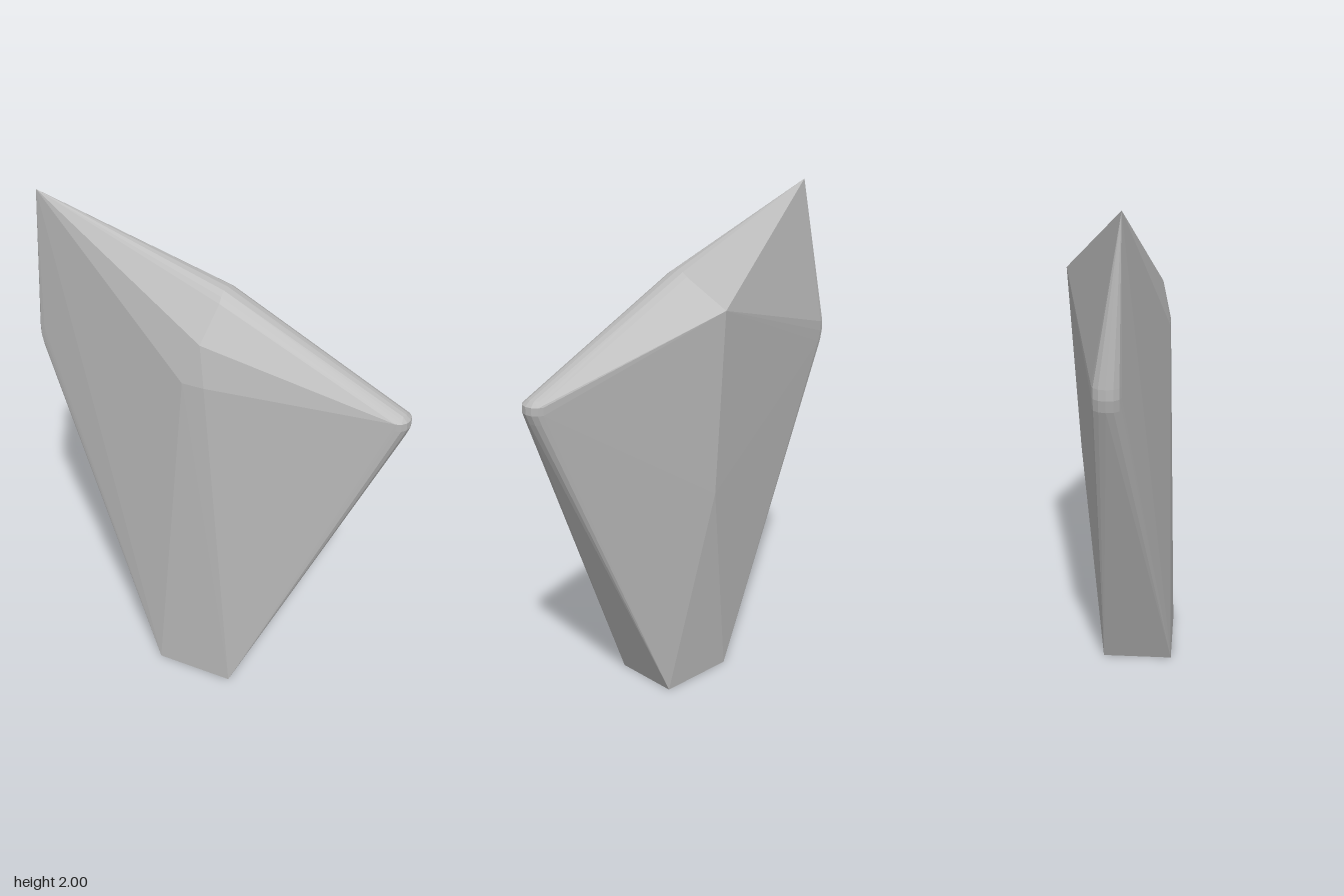
import * as THREE from 'three';
import { ConvexGeometry } from 'three/addons/geometries/ConvexGeometry.js';

export function createModel() {
  const group = new THREE.Group();
  const stone = new THREE.MeshStandardMaterial({ color: 0xb8b8b8 });
  stone.name = 'grey stone';

  const points = [];
  const add = (x, y, z) => points.push(new THREE.Vector3(x, y, z));

  // Narrow foot
  for (const s of [-1, 1]) {
    add(s * 0.163, 0, 0.214);
    add(s * 0.163, 0, -0.065);
  }

  // Tall peak, front ridge and back ridge
  add(-0.73, 2, 0.05);
  add(-0.05, 1.41, 0.189);
  add(0.04, 1.41, 0.188);
  add(0.01, 1.57, 0.158);
  add(0, 1.62, -0.214);
  add(0, 0.87, -0.165);

  // Rounded crest across the top
  for (let i = 0; i <= 8; i++) {
    const a = (i / 8 - 0.5) * Math.PI;
    add(0.045, 1.68 + 0.068 * Math.cos(a), 0.072 * Math.sin(a));
  }

  // Rounded shoulders, wide to the sides
  for (let i = 0; i <= 6; i++) {
    const a = (i / 6 - 0.5) * Math.PI;
    const c = 0.04 * Math.cos(a), z = 0.052 * Math.sin(a);
    add(0.745 + c, 1.378, z);
    add(0.745 + c, 1.348, z);
    add(0.73 + c, 1.31, z);
    add(0.725 + c, 1.396, z * 0.7);
    add(-0.745 - c, 1.41, z);
    add(-0.745 - c, 1.37, z);
    add(-0.735 - c, 1.325, z);
  }

  const mesh = new THREE.Mesh(new ConvexGeometry(points), stone);
  mesh.name = 'facetedStone';
  group.add(mesh);
  return group;
}
